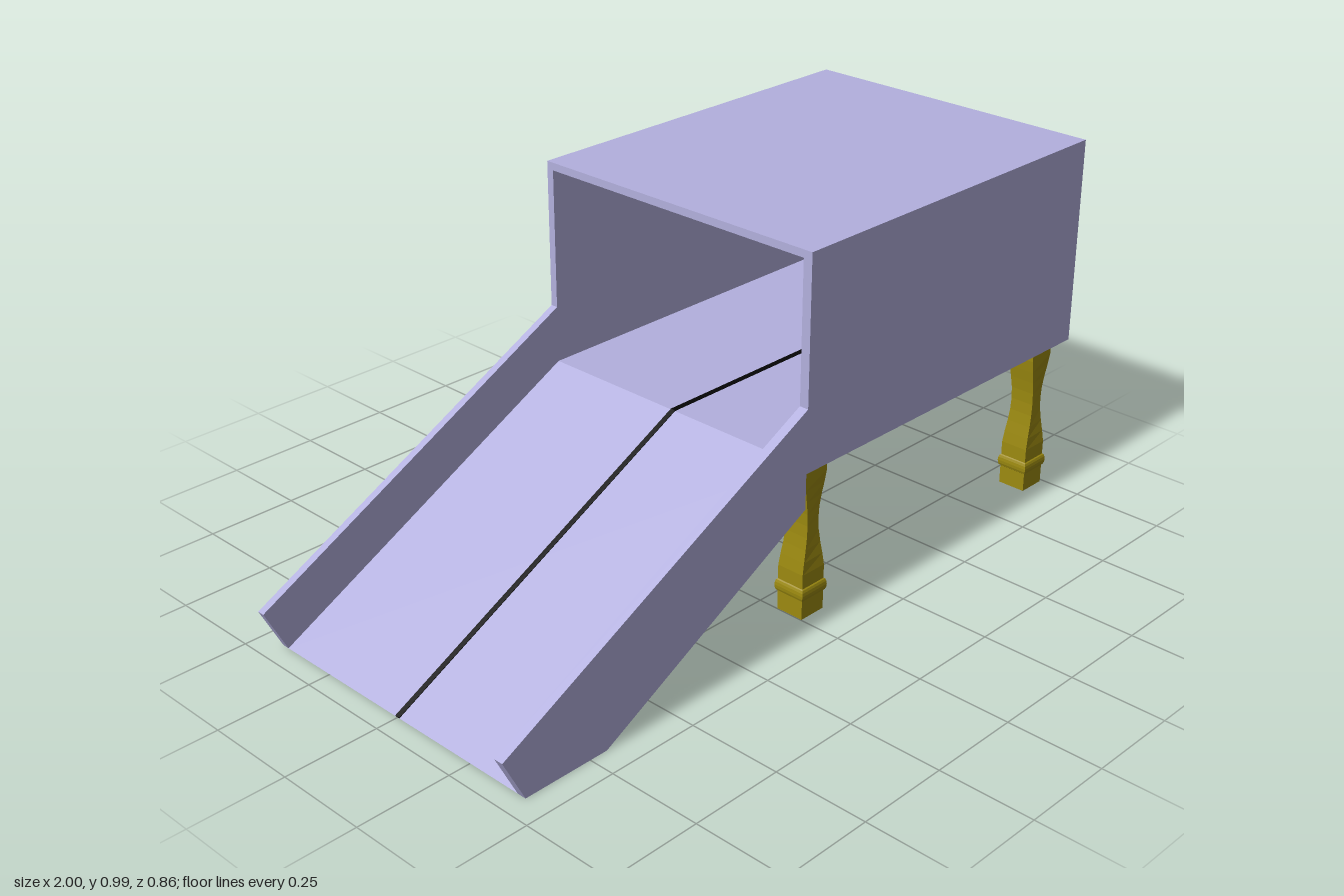
import * as THREE from 'three';

const shell = new THREE.MeshStandardMaterial({ color: 0xb3b0de, flatShading: true });
const wood = new THREE.MeshStandardMaterial({ color: 0x9c8a10, flatShading: true });
const black = new THREE.MeshStandardMaterial({ color: 0x050505 });

// Extrude an x-y outline between two z positions
function slab(name, points, z0, z1, material) {
  const shape = new THREE.Shape(points.map(([x, y]) => new THREE.Vector2(x, y)));
  const geometry = new THREE.ExtrudeGeometry(shape, { depth: z1 - z0, bevelEnabled: false });
  geometry.translate(0, 0, z0);
  const mesh = new THREE.Mesh(geometry, material);
  mesh.name = name;
  return mesh;
}

// Leg sections from bottom to top: height, half width, how far the waist is cut in
function legSections() {
  const sections = [[0.017, 0.039, 0], [0.068, 0.039, 0]];
  for (let i = 0; i <= 6; i++) {
    const a = (i / 6) * Math.PI;
    sections.push([0.085 - 0.017 * Math.cos(a), 0.039 + 0.006 * Math.sin(a), 0]);
  }
  for (let i = 0; i <= 8; i++) {
    const t = i / 8;
    sections.push([0.14 + 0.26 * t, 0.039, Math.sin(Math.PI * t) ** 1.3]);
  }
  sections.push([0.438, 0.039, 0]);
  return sections;
}

// Square leg lofted through its sections; one outer corner stays straight in depth
function legGeometry() {
  const rings = legSections().map(([y, h, cut]) => {
    const x = h - 0.013 * cut, z = h - 0.011 * cut;
    return [[-x, y, h], [x, y, z], [x, y, -z], [-x, y, -z]];
  });
  const positions = [];
  const quad = (a, b, c, d) => positions.push(...a, ...b, ...c, ...a, ...c, ...d);
  for (let i = 0; i < rings.length - 1; i++) {
    for (let j = 0; j < 4; j++) {
      const k = (j + 1) % 4;
      quad(rings[i][j], rings[i][k], rings[i + 1][k], rings[i + 1][j]);
    }
  }
  const bottom = rings[0], top = rings[rings.length - 1];
  quad(bottom[3], bottom[2], bottom[1], bottom[0]);
  quad(top[0], top[1], top[2], top[3]);
  const geometry = new THREE.BufferGeometry();
  geometry.setAttribute('position', new THREE.Float32BufferAttribute(positions, 3));
  geometry.computeVertexNormals();
  return geometry;
}

export function createModel() {
  const group = new THREE.Group();
  group.name = 'raisedHouseWithRamp';

  // Side panels: house wall and ramp rail in one piece
  const side = [
    [-1, 0.12], [-0.94, 0], [-0.7, 0], [-0.05, 0.345], [-0.05, 0.438],
    [1, 0.438], [1, 0.99], [-0.05, 0.99], [-0.05, 0.605],
  ];
  const front = 0.405, back = -0.41;
  group.add(slab('leftSidePanel', side, front, 0.43, shell));
  group.add(slab('rightSidePanel', side, -0.43, back, shell));

  // House floor running on into the solid ramp
  const floorY = 0.455;
  group.add(slab('floorAndRamp', [
    [-0.94, 0], [-0.7, 0], [-0.05, 0.345], [-0.05, 0.438],
    [1, 0.438], [1, floorY], [-0.05, floorY],
  ], back, front, shell));

  // Roof and closed end wall
  group.add(slab('roof', [[-0.05, 0.97], [1, 0.97], [1, 0.99], [-0.05, 0.99]], back, front, shell));
  group.add(slab('endWall', [[0.98, floorY], [1, floorY], [1, 0.97], [0.98, 0.97]], back, front, shell));

  // Thin centre line along ramp and floor
  const lift = 0.002;
  group.add(slab('centreLine', [
    [-0.94, 0], [-0.05, floorY], [0.98, floorY],
    [0.98, floorY + lift], [-0.05, floorY + lift], [-0.94, lift],
  ], -0.008, 0.006, black));

  // Four turned legs
  const geometry = legGeometry();
  for (const x of [0.02, 0.925]) {
    for (const z of [-0.358, 0.362]) {
      const leg = new THREE.Mesh(geometry, wood);
      leg.name = (z > 0 ? 'front' : 'back') + (x > 0.5 ? 'Left' : 'Right') + 'Leg';
      leg.position.set(x, 0, z);
      group.add(leg);
    }
  }
  return group;
}
